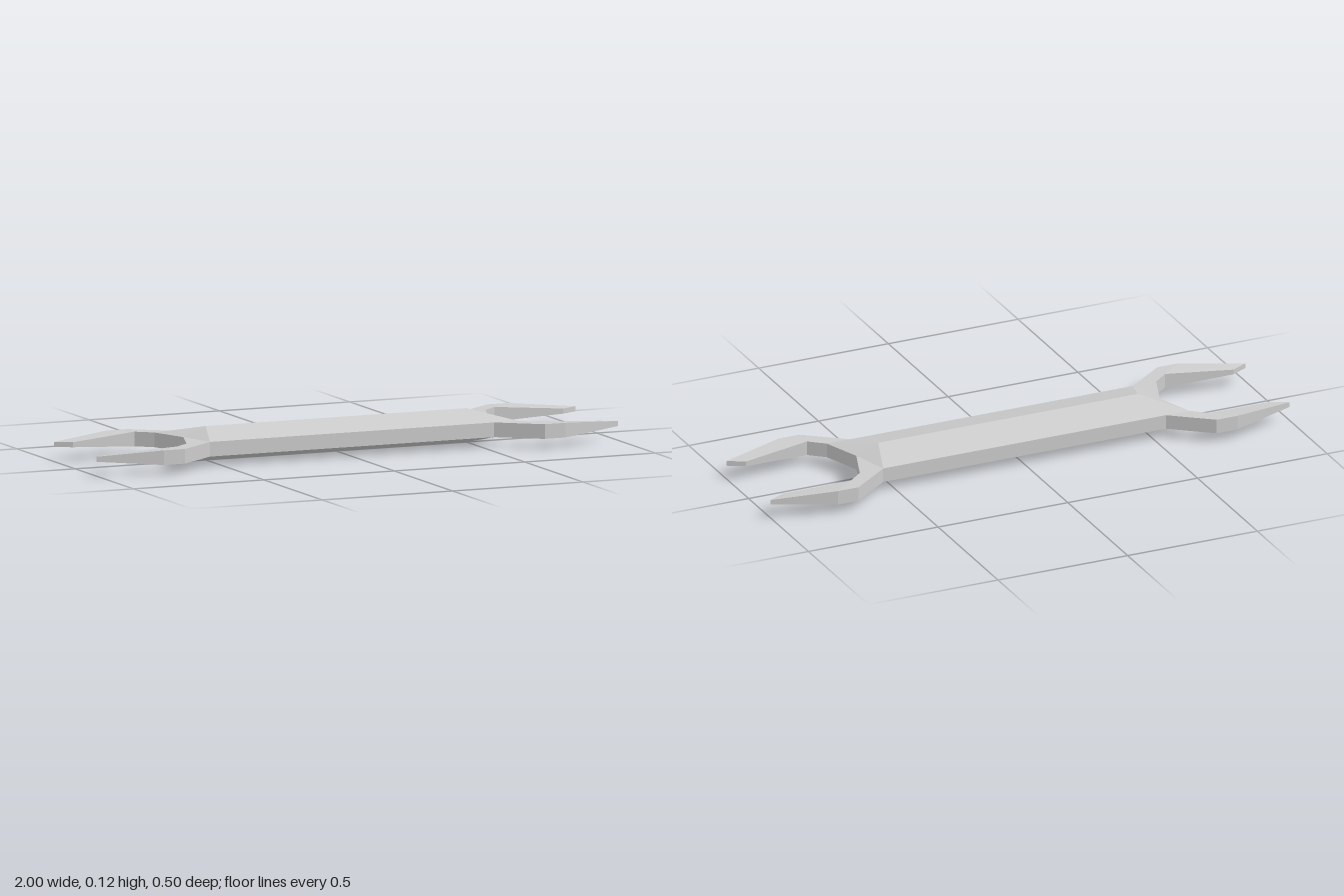
import * as THREE from 'three';

const MID = 0.06; // height of the mirror plane

// Corner points of one eighth of the spanner: x, height above mid plane, z
const P = {
  middle: [0, 0.06, 0],
  ridgeEnd: [0.5, 0.06, 0],
  side: [0, 0.026, 0.138],
  neck: [0.545, 0.026, 0.138],
  outer1: [0.69, 0.026, 0.248],
  outer2: [0.77, 0.026, 0.248],
  tip: [1, 0.009, 0.184],
  tipInner: [0.94, 0.009, 0.152],
  inner2: [0.69, 0.026, 0.184],
  inner1: [0.635, 0.026, 0.138],
  throat: [0.585, 0.026, 0],
};

// Top faces, plus walls dropping from a chain of edge points to the mid plane
function eighth(faces, chain) {
  const polys = faces.map((f) => f.map((n) => P[n]));
  for (let i = 0; i < chain.length - 1; i++) {
    const p = P[chain[i]], q = P[chain[i + 1]];
    polys.push([[p[0], 0, p[2]], [q[0], 0, q[2]], q, p]);
  }
  return polys;
}

// Mirrors the polygons by every sign combination, flipping the winding when needed
function mirrored(polys, xSigns) {
  const pos = [];
  for (const sx of xSigns) for (const sy of [1, -1]) for (const sz of [1, -1]) {
    for (const poly of polys) {
      const pts = poly.map(([x, y, z]) => [x * sx, MID + y * sy, z * sz]);
      if (sx * sy * sz < 0) pts.reverse();
      for (let i = 1; i < pts.length - 1; i++) pos.push(...pts[0], ...pts[i], ...pts[i + 1]);
    }
  }
  const geo = new THREE.BufferGeometry();
  geo.setAttribute('position', new THREE.Float32BufferAttribute(pos, 3));
  geo.computeVertexNormals();
  return geo;
}

export function createModel() {
  const group = new THREE.Group();
  group.name = 'spanner';
  const material = new THREE.MeshStandardMaterial({ color: 0xcccccc, flatShading: true });
  const add = (name, geo) => {
    const mesh = new THREE.Mesh(geo, material);
    mesh.name = name;
    group.add(mesh);
  };

  // Ridged handle
  add('handle', mirrored(eighth([['middle', 'side', 'neck', 'ridgeEnd']], ['side', 'neck']), [1, -1]));

  // Open jaws with sloped shoulder and tapering prongs
  const jaw = eighth(
    [
      ['ridgeEnd', 'neck', 'inner1', 'throat'],
      ['neck', 'outer1', 'inner2', 'inner1'],
      ['outer1', 'outer2', 'inner2'],
      ['outer2', 'tip', 'tipInner', 'inner2'],
    ],
    ['neck', 'outer1', 'outer2', 'tip', 'tipInner', 'inner2', 'inner1', 'throat'],
  );
  add('leftJaw', mirrored(jaw, [1]));
  add('rightJaw', mirrored(jaw, [-1]));
  return group;
}
